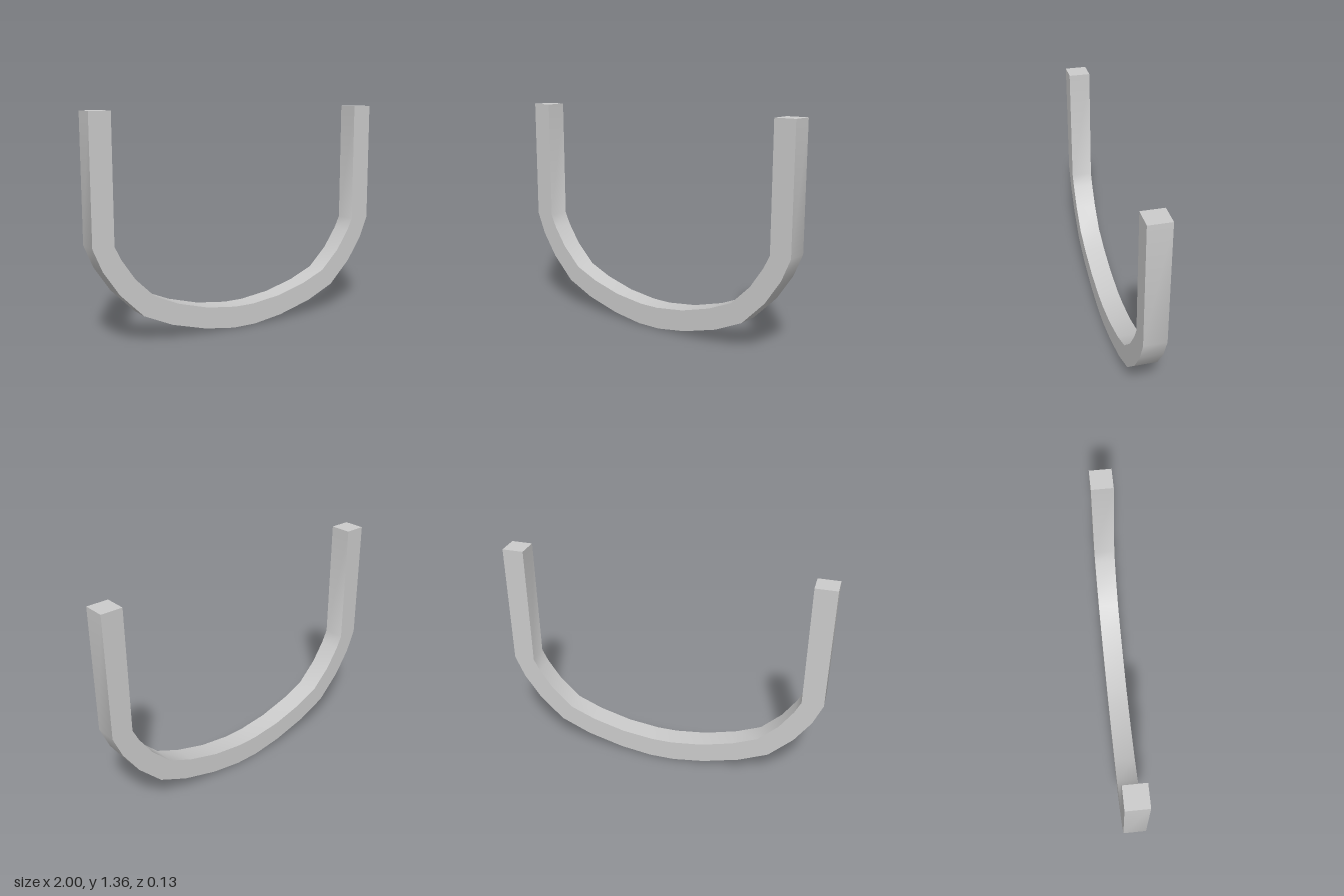
import * as THREE from 'three';
import { toCreasedNormals } from 'three/addons/utils/BufferGeometryUtils.js';

const DEPTH = 0.134;

// Right half of the band, from the leg's top down to the middle of the bend
const OUTER = [[1, 1.36], [1, 0.605], [0.943, 0.47], [0.843, 0.322], [0.695, 0.175], [0.51, 0.092], [0.28, 0.029], [0.08, 0]];
const INNER = [[0.868, 1.36], [0.868, 0.605], [0.83, 0.527], [0.745, 0.402], [0.62, 0.28], [0.465, 0.214], [0.265, 0.159], [0.065, 0.134]];

// Completes a half profile by mirroring it across x = 0
const mirrored = (half) => [...half, ...half.map(([x, y]) => [-x, y]).reverse()];

export function createModel() {
  const group = new THREE.Group();
  group.name = 'uShapedBracket';

  // Closed U outline: along the inside, then back along the outside
  const outline = [...mirrored(INNER), ...mirrored(OUTER).reverse()];
  const shape = new THREE.Shape(outline.map(([x, y]) => new THREE.Vector2(x, y)));

  // Square bar, smooth along the bend and sharp at its four edges
  const geometry = new THREE.ExtrudeGeometry(shape, { depth: DEPTH, bevelEnabled: false });
  geometry.translate(0, 0, -DEPTH / 2);
  const bar = new THREE.Mesh(
    toCreasedNormals(geometry, 0.6),
    new THREE.MeshStandardMaterial({ color: 0xcccccc })
  );
  bar.name = 'curvedBar';
  group.add(bar);
  return group;
}
